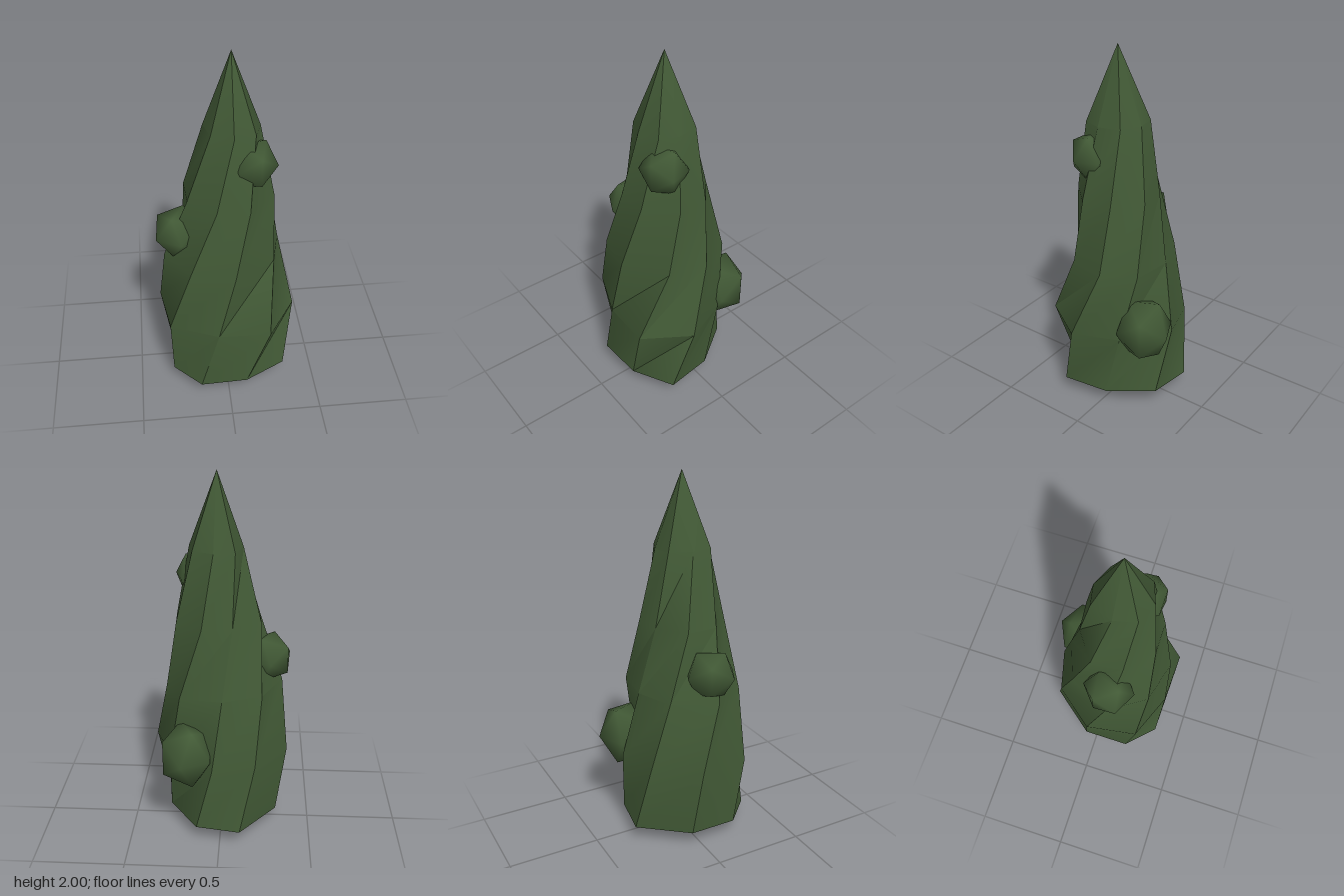
import * as THREE from 'three';
import { mergeVertices, toCreasedNormals } from 'three/addons/utils/BufferGeometryUtils.js';

// Irregular eight-sided cross-sections as [x, z], each slightly twisted against the last
const RINGS = [
  { y: 0.09, pts: [[0.325, 0.22], [0.10, 0.34], [-0.16, 0.35], [-0.31, 0.20], [-0.31, -0.06], [-0.11, -0.31], [0.13, -0.27], [0.29, -0.04]] },
  { y: 0.47, pts: [[0.38, 0.12], [0.22, 0.37], [-0.06, 0.36], [-0.32, 0.255], [-0.365, -0.03], [-0.19, -0.25], [0.04, -0.31], [0.28, -0.13]] },
  { y: 0.85, pts: [[0.30, -0.02], [0.25, 0.19], [0.03, 0.34], [-0.20, 0.28], [-0.33, 0.08], [-0.22, -0.15], [-0.01, -0.23], [0.215, -0.20]] },
  { y: 1.22, pts: [[0.24, -0.05], [0.25, 0.12], [0.11, 0.26], [-0.06, 0.26], [-0.20, 0.13], [-0.21, -0.04], [-0.06, -0.15], [0.10, -0.165]] },
  { y: 1.61, pts: [[0.15, -0.05], [0.175, 0.07], [0.14, 0.17], [0.03, 0.21], [-0.08, 0.16], [-0.11, 0.04], [-0.07, -0.08], [0.04, -0.10]] },
];

// Loft through the rings, closed by a point at each end
function spireGeometry() {
  const n = 8;
  const positions = [];
  const index = [];
  for (const { y, pts } of RINGS) for (const [x, z] of pts) positions.push(x, y, z);
  const bottom = positions.length / 3;
  const top = bottom + 1;
  positions.push(0, 0, 0.05, 0.03, 2, 0.05);

  const last = (RINGS.length - 1) * n;
  for (let i = 0; i < n; i++) {
    const j = (i + 1) % n;
    for (let r = 0; r < last; r += n) {
      index.push(r + j, r + i, r + n + i, r + j, r + n + i, r + n + j);
    }
    index.push(bottom, i, j, last + j, last + i, top);
  }
  const geometry = new THREE.BufferGeometry();
  geometry.setAttribute('position', new THREE.Float32BufferAttribute(positions, 3));
  geometry.setIndex(index);
  return toCreasedNormals(geometry, 0.6);
}

// Low-poly ball with smooth normals
function knobGeometry() {
  let geometry = new THREE.IcosahedronGeometry(1, 0);
  geometry.deleteAttribute('normal');
  geometry.deleteAttribute('uv');
  geometry = mergeVertices(geometry);
  geometry.computeVertexNormals();
  return geometry;
}

export function createModel() {
  const green = new THREE.MeshStandardMaterial({ color: 0x425a36 });
  green.name = 'mossGreen';
  const model = new THREE.Group();
  model.name = 'spire';

  const body = new THREE.Mesh(spireGeometry(), green);
  body.name = 'body';
  model.add(body);

  // Knobs growing out of the sides
  const knob = knobGeometry();
  const knobs = [
    ['upperKnob', [0.135, 1.43, 0.135], [0.125, 0.14, 0.125], 0.3],
    ['middleKnob', [-0.25, 0.99, 0.07], [0.14, 0.14, 0.14], 1.1],
    ['lowerKnob', [0.18, 0.53, -0.22], [0.16, 0.19, 0.16], 2.0],
  ];
  for (const [name, position, scale, turn] of knobs) {
    const mesh = new THREE.Mesh(knob, green);
    mesh.name = name;
    mesh.position.set(...position);
    mesh.scale.set(...scale);
    mesh.rotation.y = turn;
    model.add(mesh);
  }
  return model;
}
